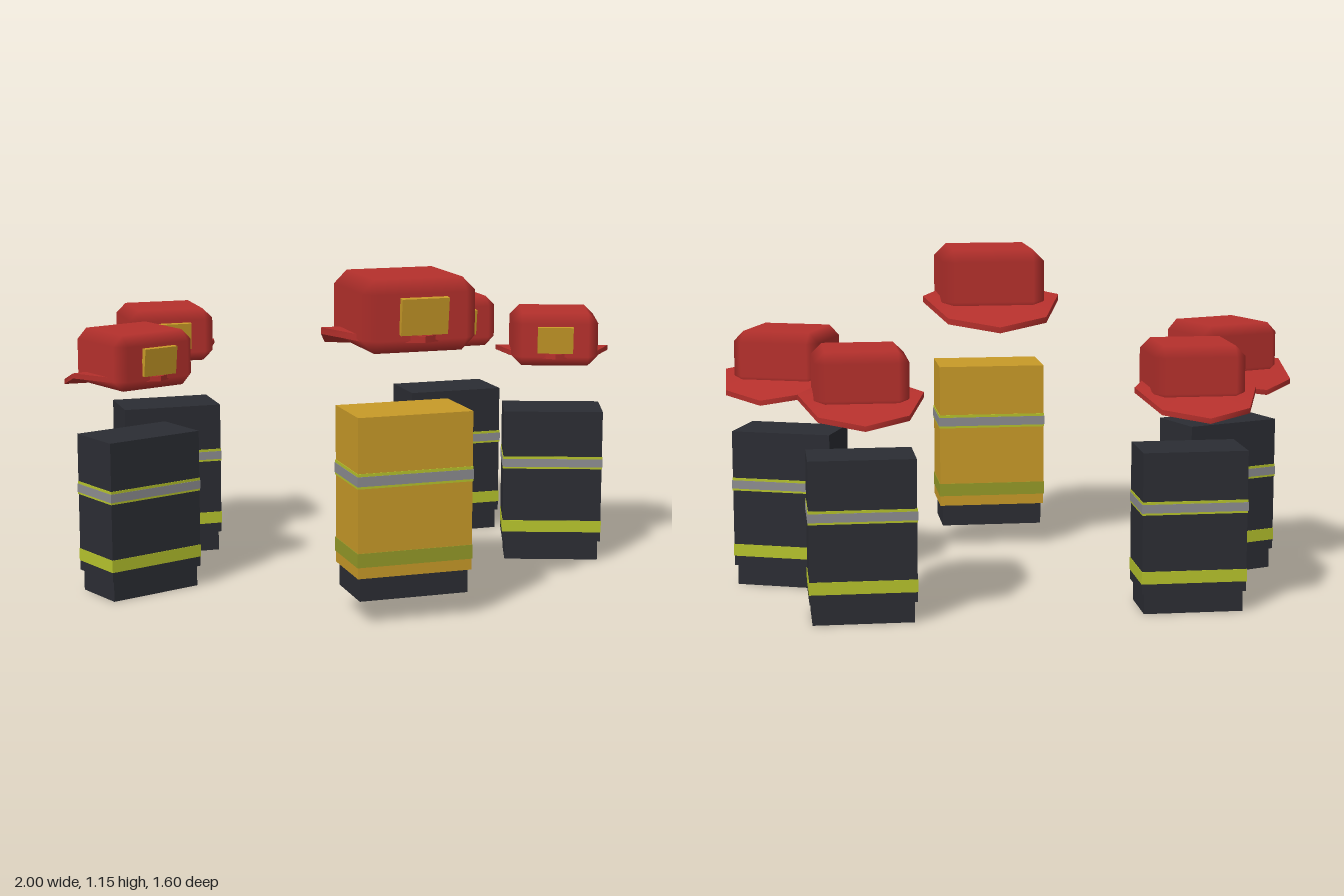
import * as THREE from 'three';
import { ConvexGeometry } from 'three/addons/geometries/ConvexGeometry.js';

const mat = (color) => new THREE.MeshStandardMaterial({ color });
const RED = mat(0xb5302c), GOLD = mat(0xc89a28), DARK = mat(0x2b2d33);
const LIME = mat(0xb5c22c), DULL_LIME = mat(0x959a28), SILVER = mat(0x8c8c90);

function add(parent, name, geometry, material, x = 0, y = 0, z = 0) {
  const mesh = new THREE.Mesh(geometry, material);
  mesh.name = name;
  mesh.position.set(x, y, z);
  parent.add(mesh);
  return mesh;
}

// Box standing between two heights
function slab(parent, name, w, d, y0, y1, material) {
  return add(parent, name, new THREE.BoxGeometry(w, y1 - y0, d), material, 0, (y0 + y1) / 2, 0);
}

// Box with one chamfer on every edge; each corner point keeps the normal of its flat face
function chamferBox(w, h, d, c) {
  const half = [w / 2, h / 2, d / 2];
  const points = [];
  for (let axis = 0; axis < 3; axis++) {
    for (let corner = 0; corner < 8; corner++) {
      const p = half.map((v, i) => (corner & (1 << i) ? 1 : -1) * (i === axis ? v : v - c));
      points.push(new THREE.Vector3(...p));
    }
  }
  const geometry = new ConvexGeometry(points);
  const pos = geometry.attributes.position, normal = geometry.attributes.normal;
  for (let i = 0; i < pos.count; i++) {
    const p = [pos.getX(i), pos.getY(i), pos.getZ(i)];
    const n = p.map((v, k) => (Math.abs(v) > half[k] - c / 2 ? Math.sign(v) : 0));
    normal.setXYZ(i, ...n);
  }
  return geometry;
}

// Eight-sided brim whose rear half slopes down
function brimGeometry() {
  const geometry = new THREE.CylinderGeometry(0.26, 0.26, 0.022, 8);
  geometry.scale(1, 1, 1.115);
  const pos = geometry.attributes.position;
  for (let i = 0; i < pos.count; i++) {
    pos.setY(i, pos.getY(i) + Math.min(0, pos.getZ(i)) * 0.3);
  }
  geometry.computeVertexNormals();
  return geometry;
}

// Coat, reflective bands and boots, standing on y = 0
function makeBody(coat, lowerBand) {
  const g = new THREE.Group();
  g.name = 'body';
  slab(g, 'boots', 0.38, 0.22, 0, 0.08, DARK);
  slab(g, 'coat', 0.4, 0.24, 0.08, 0.62, coat);
  slab(g, 'lowerBand', 0.404, 0.244, 0.118, 0.166, lowerBand);
  slab(g, 'chestBand', 0.404, 0.244, 0.383, 0.434, LIME);
  slab(g, 'chestBandCentre', 0.407, 0.247, 0.391, 0.424, SILVER);
  return g;
}

// Helmet centred on its shell
function makeHelmet() {
  const g = new THREE.Group();
  g.name = 'helmet';
  add(g, 'shell', chamferBox(0.39, 0.24, 0.38, 0.045), RED);
  add(g, 'brim', brimGeometry(), RED, 0, -0.071, -0.08);
  const badge = add(g, 'badge', new THREE.BoxGeometry(0.16, 0.12, 0.022), GOLD, 0, 0.004, 0.2);
  badge.rotation.x = 0.12;
  return g;
}

export function createModel() {
  const model = new THREE.Group();
  model.name = 'fireCrew';

  const figure = (name, x, z, turn, lead) => {
    const g = new THREE.Group();
    g.name = name;
    const body = makeBody(lead ? GOLD : DARK, lead ? DULL_LIME : LIME);
    body.scale.setScalar(lead ? 1 : 0.9);
    body.position.y = lead ? 0.08 : 0;
    const helmet = makeHelmet();
    helmet.scale.setScalar(lead ? 1 : 0.8);
    helmet.position.set(0, lead ? 1.03 : 0.825, lead ? -0.01 : -0.015);
    g.add(body, helmet);
    g.position.set(x, 0, z);
    g.rotation.y = turn;
    model.add(g);
  };

  // Leader in front, two pairs of crew behind
  figure('leader', 0, 0.59, 0, true);
  for (const [side, label] of [[1, 'left'], [-1, 'right']]) {
    figure(label + 'SideMember', side * 0.78, 0.028, -side * 0.35, false);
    figure(label + 'RearMember', side * 0.56, -0.495, 0, false);
  }
  return model;
}
